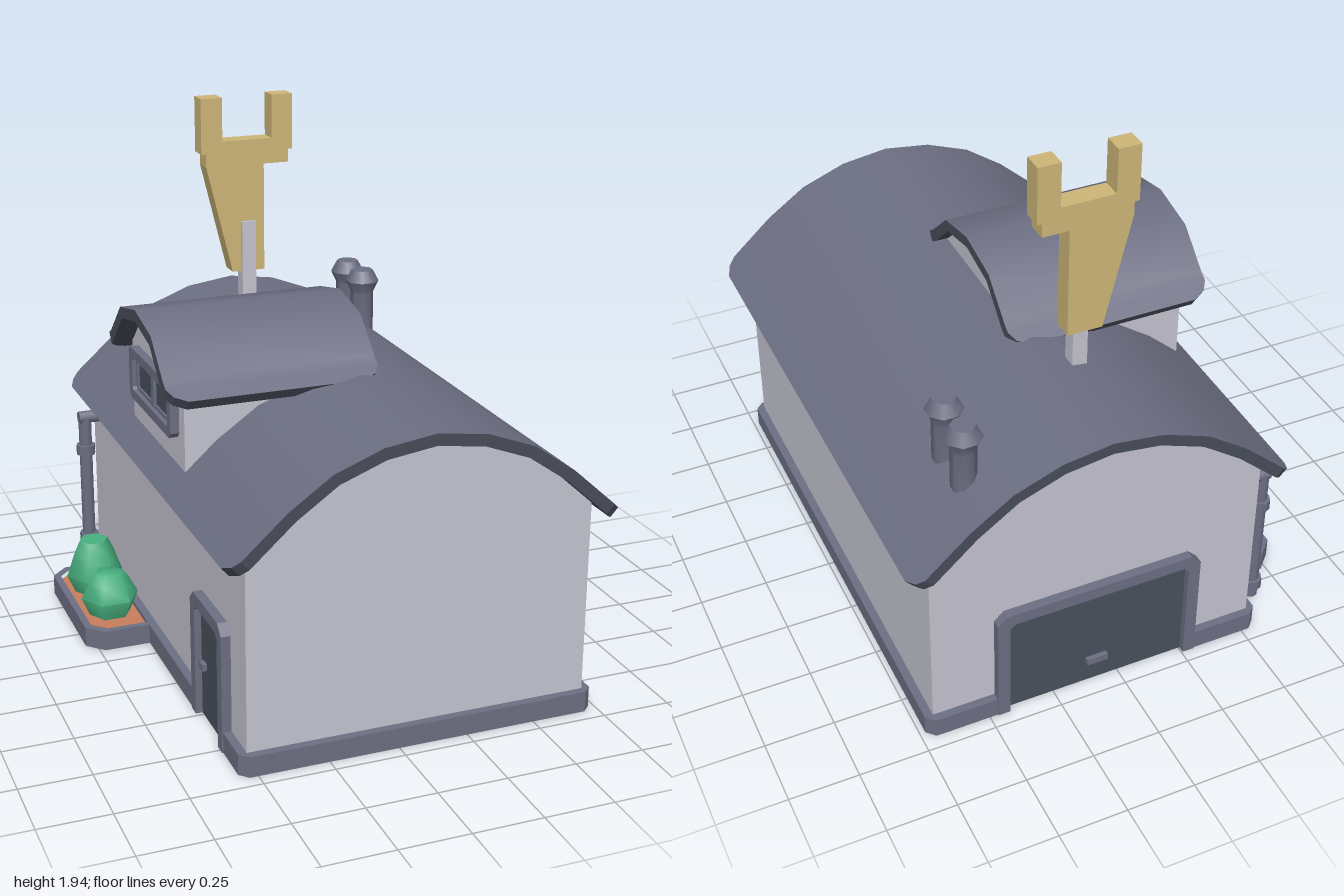
import * as THREE from 'three';
import { mergeVertices, toCreasedNormals } from 'three/addons/utils/BufferGeometryUtils.js';

const mat = (name, color) => Object.assign(new THREE.MeshStandardMaterial({ color }), { name });

export function createModel() {
  const wall = mat('wall grey', 0xc4c3cf), slate = mat('slate', 0x6c6e82), edge = mat('dark roof edge', 0x484c59);
  const dark = mat('door charcoal', 0x47505b), gold = mat('sign gold', 0xccb577);
  const green = mat('bush green', 0x48b080), soil = mat('planter clay', 0xc67d5b);
  const root = new THREE.Group();
  root.name = 'garage';
  const CX = 0.085;

  const add = (name, geo, material, x = 0, y = 0, z = 0, parent = root) => {
    const m = new THREE.Mesh(geo, material);
    m.name = name;
    m.position.set(x, y, z);
    parent.add(m);
    return m;
  };
  const box = (name, w, h, d, material, x, y, z, parent) =>
    add(name, new THREE.BoxGeometry(w, h, d), material, x, y, z, parent);
  const shapeOf = pts => new THREE.Shape(pts.map(p => new THREE.Vector2(p[0], p[1])));
  const extrude = (shape, depth) => new THREE.ExtrudeGeometry(shape, { depth, bevelEnabled: false });
  // plan outline given as (x, z), raised from the ground
  const slab = (pts, h, hole) => {
    const s = shapeOf(pts.map(([x, z]) => [x, -z]));
    if (hole) s.holes.push(shapeOf(hole.map(([x, z]) => [x, -z])));
    return extrude(s, h).rotateX(-Math.PI / 2);
  };
  const mirror = half => [...half.slice(1).reverse().map(([x, y]) => [-x, y]), ...half];

  // Curved roof sheet: half profile from ridge to eave, clipped corners
  function roof(name, half, L, t) {
    const g = new THREE.Group();
    g.name = name;
    const n = half.length, [a, b] = [half[n - 2], half[n - 1]];
    const len = Math.hypot(b[0] - a[0], b[1] - a[1]);
    const at = d => [b[0] + (a[0] - b[0]) * d / len, b[1] + (a[1] - b[1]) * d / len];
    const stations = [...half.slice(0, -1).map(p => [...p, L]), [...at(0.06), L], [...at(0.025), L - 0.02], [...b, L - 0.065]];
    const prof = [...stations.slice(1).reverse().map(([x, y, l]) => [-x, y, l]), ...stations];
    const last = prof.length - 1;
    const rows = prof.map(([x, y, l], i) => {
      const p = prof[Math.max(i - 1, 0)], q = prof[Math.min(i + 1, last)];
      const dx = q[0] - p[0], dy = q[1] - p[1], k = t / Math.hypot(dx, dy);
      const ix = x + dy * k, iy = y - dx * k;
      return { of: [x, y, l], ob: [x, y, -l], nf: [ix, iy, l], nb: [ix, iy, -l] };
    });
    const top = [], under = [], rim = [];
    const quad = (out, p, q, r, s) => out.push(...p, ...q, ...r, ...p, ...r, ...s);
    for (let i = 0; i < last; i++) {
      const u = rows[i], v = rows[i + 1];
      quad(top, u.of, v.of, v.ob, u.ob);
      quad(under, u.nf, u.nb, v.nb, v.nf);
      quad(rim, u.nf, v.nf, v.of, u.of);
      quad(rim, u.ob, v.ob, v.nb, u.nb);
    }
    const s = rows[0], e = rows[last];
    quad(rim, s.nb, s.nf, s.of, s.ob);
    quad(rim, e.nf, e.nb, e.ob, e.of);
    const build = (arr, smooth) => {
      let geo = new THREE.BufferGeometry();
      geo.setAttribute('position', new THREE.Float32BufferAttribute(arr, 3));
      if (smooth) geo = mergeVertices(geo, 1e-4);
      geo.computeVertexNormals();
      return geo;
    };
    add('roofTop', build(top, true), slate, 0, 0, 0, g);
    add('roofUnderside', build(under, true), edge, 0, 0, 0, g);
    add('roofEdge', build(rim, false), edge, 0, 0, 0, g);
    root.add(g);
    return g;
  }

  // Plinth, notched for the two doorways
  add('base', slab([
    [-0.53, 0.95], [0.70, 0.95], [0.73, 0.92], [0.73, -0.92], [0.70, -0.95],
    [0.43, -0.95], [0.43, -0.92], [-0.26, -0.92], [-0.26, -0.95], [-0.53, -0.95], [-0.56, -0.92],
    [-0.56, 0.47], [-0.53, 0.47], [-0.53, 0.74], [-0.56, 0.74], [-0.56, 0.92],
  ], 0.075), slate);

  // Walls with a rounded gable
  const gable = mirror([[0, 1.095], [0.17, 1.075], [0.34, 1.01], [0.49, 0.905], [0.615, 0.79], [0.615, 0.03]]);
  add('walls', extrude(shapeOf(gable.reverse()), 1.84), wall, CX, 0, -0.92);
  roof('mainRoof', [[0, 1.125], [0.18, 1.1], [0.35, 1.035], [0.5, 0.93], [0.7, 0.75]], 1, 0.042).position.x = CX;

  // Dormer
  const dormerWall = mirror([[0, 1.295], [0.175, 1.255], [0.31, 1.135], [0.31, 0.8]]);
  add('dormerWalls', extrude(shapeOf(dormerWall.reverse()), 0.64), wall, -0.53).rotation.y = Math.PI / 2;
  const dormer = roof('dormerRoof', [[0, 1.325], [0.19, 1.285], [0.32, 1.165], [0.4, 1.112]], 0.383, 0.042);
  dormer.position.x = -0.222;
  dormer.rotation.y = Math.PI / 2;

  // Door frame open at the bottom, with a flat panel and a handle
  function door(name, w, h, t, handle) {
    const g = new THREE.Group();
    g.name = name;
    const c = 0.035, a = w / 2, b = a - t, k = h - t;
    add('doorFrame', extrude(shapeOf([
      [-a, 0], [-b, 0], [-b, k - c / 2], [-b + c / 2, k], [b - c / 2, k], [b, k - c / 2], [b, 0],
      [a, 0], [a, h - c], [a - c, h], [-a + c, h], [-a, h - c],
    ]), 0.034), slate, 0, 0, 0, g);
    box('doorPanel', w - t, h - t / 2, 0.009, dark, 0, (h - t / 2) / 2, 0.0045, g);
    box('doorHandle', handle[2], 0.025, 0.02, slate, handle[0], handle[1], 0.016, g);
    root.add(g);
    return g;
  }
  const garageDoor = door('garageDoor', 0.77, 0.46, 0.045, [0, 0.1, 0.08]);
  garageDoor.position.set(CX, 0, -0.92);
  garageDoor.rotation.y = Math.PI;
  const sideDoor = door('sideDoor', 0.33, 0.46, 0.045, [-0.08, 0.2, 0.035]);
  sideDoor.position.set(-0.53, 0, 0.605);
  sideDoor.rotation.y = -Math.PI / 2;

  // Dormer window
  const win = new THREE.Group();
  win.name = 'dormerWindow';
  win.position.set(-0.53, 1.025, 0);
  win.rotation.y = -Math.PI / 2;
  root.add(win);
  const octo = (a, b, c) => [[-a + c, -b], [a - c, -b], [a, -b + c], [a, b - c], [a - c, b], [-a + c, b], [-a, b - c], [-a, -b + c]];
  const frame = shapeOf(octo(0.25, 0.097, 0.02));
  frame.holes.push(shapeOf(octo(0.212, 0.062, 0.01)));
  add('windowFrame', extrude(frame, 0.032), slate, 0, 0, 0, win);
  box('windowGlass', 0.44, 0.14, 0.009, dark, 0, 0, 0.0045, win);
  box('windowMullion', 0.03, 0.13, 0.02, slate, 0, 0, 0.01, win);
  for (const s of [-1, 1]) {
    box('windowRail', 0.43, 0.014, 0.016, slate, 0, s * 0.056, 0.008, win);
    box('windowStile', 0.018, 0.13, 0.016, slate, s * 0.204, 0, 0.008, win);
  }

  // Chimney pots
  for (const z of [-0.645, -0.8]) {
    const pts = [[0.045, 0.88], [0.045, 1.11], [0.066, 1.155], [0.042, 1.2], [0, 1.2]].map(p => new THREE.Vector2(...p));
    add('chimney', toCreasedNormals(new THREE.LatheGeometry(pts, 8, Math.PI / 8), 0.8), slate, 0.52, 0, z);
  }

  // Spanner-shaped sign on a post
  const spanner = shapeOf([
    [-0.065, 1.275], [0.063, 1.275], [0.063, 1.685], [0.16, 1.685], [0.16, 1.735], [0.177, 1.735], [0.177, 1.943],
    [0.095, 1.943], [0.095, 1.78], [-0.1, 1.78], [-0.1, 1.943], [-0.183, 1.943], [-0.183, 1.735], [-0.165, 1.735], [-0.165, 1.685],
  ]);
  add('spannerSign', extrude(spanner, 0.075), gold, 0, 0, -0.605);
  box('signPost', 0.055, 0.4, 0.055, wall, -0.003, 1.27, -0.5425);

  // Drainpipe
  const px = -0.588, pz = -0.85;
  add('drainpipe', new THREE.CylinderGeometry(0.026, 0.026, 0.575, 8), slate, px, 0.3575, pz);
  add('drainpipeElbow', new THREE.CylinderGeometry(0.026, 0.026, 0.085, 8), slate, px + 0.018, 0.645, pz).rotation.z = Math.PI / 2;
  for (const y of [0.51, 0.13])
    add('drainpipeCollar', new THREE.CylinderGeometry(0.038, 0.038, 0.04, 8), slate, px, y, pz);

  // Planter with two bushes
  const tray = (x, z0, z1, c) => [[-0.545, z1], [x + c, z1], [x, z1 - c], [x, z0 + c], [x + c, z0], [-0.545, z0]];
  const rim = tray(-0.79, -0.7, -0.088, 0.06);
  const inner = tray(-0.764, -0.674, -0.114, 0.05).map(([x, z], i) => [i % 5 ? x : -0.56, z]);
  add('planter', slab(rim, 0.075, inner), slate);
  add('planterSoil', slab(inner, 0.06), soil);
  for (const [z, top] of [[-0.5, 0.27], [-0.28, 0.225]]) {
    const pts = [[0, 0.05], [0.075, 0.05], [0.11, 0.13], [0.078, 0.13 + (top - 0.13) * 0.65], [0.055, top], [0, top]];
    const geo = new THREE.LatheGeometry(pts.map(p => new THREE.Vector2(...p)), 6, Math.PI / 2);
    add('bush', toCreasedNormals(geo, 1.1), green, -0.658, 0, z);
  }
  return root;
}
